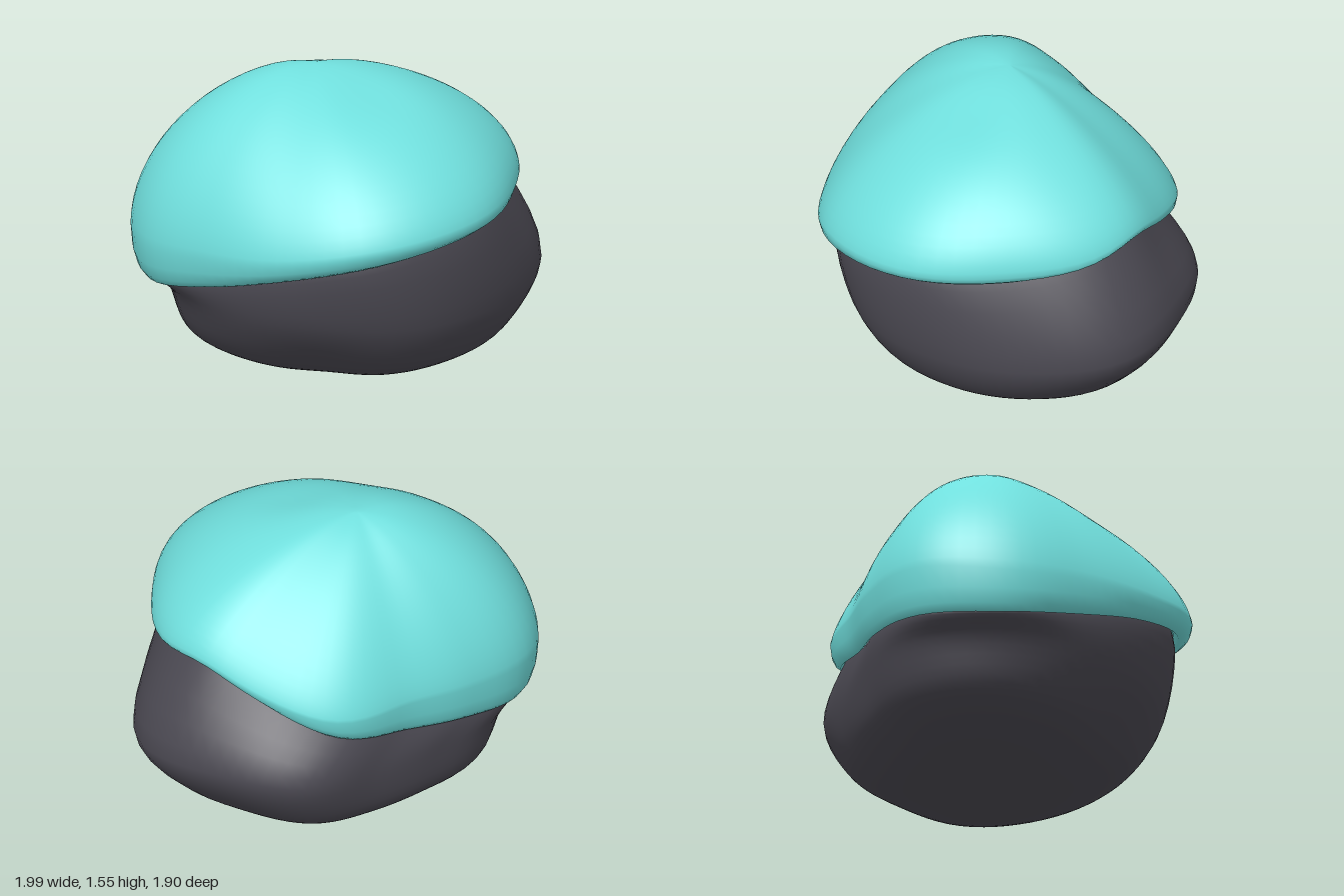
import * as THREE from 'three';
import { mergeVertices } from 'three/addons/utils/BufferGeometryUtils.js';

const teal = new THREE.MeshStandardMaterial({ color: 0x70dfdd });
teal.name = 'teal';
const charcoal = new THREE.MeshStandardMaterial({ color: 0x4b4952 });
charcoal.name = 'charcoal';

// One row every 30 degrees from +x towards +z:
// cap radius, rim height, widest point above rim, dome fullness,
// stone radius, height of its widest point, fullness of its base
const ROWS = [
  [1.03, 0.91, 0.06, 1.74, 0.925, 0.42, 0.00],
  [1.09, 0.88, 0.06, 1.62, 0.92, 0.42, 0.00],
  [1.05, 0.80, 0.08, 1.52, 0.94, 0.42, -0.02],
  [0.925, 0.69, 0.10, 1.55, 0.91, 0.43, -0.07],
  [0.87, 0.58, 0.16, 1.73, 0.91, 0.42, -0.02],
  [0.92, 0.50, 0.20, 1.84, 0.92, 0.42, 0.02],
  [0.89, 0.52, 0.23, 1.74, 0.87, 0.42, 0.03],
  [0.73, 0.58, 0.20, 1.60, 0.70, 0.42, 0.05],
  [0.68, 0.63, 0.18, 1.45, 0.68, 0.44, 0.04],
  [0.83, 0.71, 0.12, 1.36, 0.83, 0.48, -0.04],
  [0.89, 0.87, 0.06, 1.38, 0.90, 0.50, -0.08],
  [1.02, 0.95, 0.03, 1.60, 0.995, 0.46, -0.06],
];
const TOP = 1.567;
const SEGMENTS = 72;

// Smooth periodic interpolation of all columns
function sample(angle) {
  const n = ROWS.length;
  const t = (angle / (Math.PI * 2)) * n;
  const i = Math.floor(t), f = t - i;
  const values = ROWS[0].map((_, column) => {
    const [a, b, c, d] = [-1, 0, 1, 2].map((k) => ROWS[(i + k + n) % n][column]);
    return b + 0.5 * f * (c - a + f * (2 * a - 5 * b + 4 * c - d + f * (3 * (b - c) + d - a)));
  });
  // The rim arches up over the back left bulge
  values[1] += 0.07 * Math.exp(-(((angle - 5.55) / 0.25) ** 2));
  return values;
}

// Joins the profiles around the vertical axis; each profile runs from top to bottom
function loft(profileAt) {
  const positions = [], indices = [];
  let rows = 0;
  for (let i = 0; i < SEGMENTS; i++) {
    const profile = profileAt((i / SEGMENTS) * Math.PI * 2);
    rows = profile.length;
    for (const p of profile) positions.push(p.x, p.y, p.z);
  }
  for (let i = 0; i < SEGMENTS; i++) {
    const next = (i + 1) % SEGMENTS;
    for (let j = 0; j < rows - 1; j++) {
      const a = i * rows + j, b = next * rows + j;
      indices.push(a, b, a + 1, b, b + 1, a + 1);
    }
  }
  const geometry = new THREE.BufferGeometry();
  geometry.setAttribute('position', new THREE.Float32BufferAttribute(positions, 3));
  geometry.setIndex(indices);
  const merged = mergeVertices(geometry, 1e-5);
  merged.computeVertexNormals();
  return merged;
}

const capPoint = (angle, r, y) =>
  new THREE.Vector3(-0.1 + Math.cos(angle) * r, y, Math.sin(angle) * r);
const stonePoint = (angle, r, y) =>
  new THREE.Vector3(0.05 + Math.cos(angle) * r, y, -0.1 + Math.sin(angle) * r);

// Soft dip of a given depth and width, centred on (x, z)
const dip = (p, x, z, depth, width) =>
  depth * Math.exp(-((p.x - x) ** 2 + (p.z - z) ** 2) / (width * width));

// Dome, then a rounded rim that tucks back under
function capProfile(angle) {
  const [radius, rim, drop, power] = sample(angle);
  const wide = rim + drop;
  const points = [];
  for (let j = 0; j <= 20; j++) {
    const a = (j / 20) * Math.PI / 2;
    const r = Math.pow(Math.sin(a), 2 / power);
    const h = j === 20 ? 0 : Math.pow(Math.cos(a), 2 / power);
    const p = capPoint(angle, radius * r, wide + (TOP - wide) * h);
    // Flattened peak and a shallow hollow on the front slope
    p.y -= dip(p, -0.1, 0, 0.012, 0.14) + dip(p, 0.22, 0.2, 0.03, 0.22);
    points.push(p);
  }
  points.push(
    capPoint(angle, radius * 0.99, rim + drop * 0.5),
    capPoint(angle, radius * 0.965, rim + drop * 0.15),
    capPoint(angle, radius * 0.935, rim - 0.005),
    capPoint(angle, radius * 0.91, rim + 0.015),
    capPoint(angle, radius * 0.885, rim + 0.08),
  );
  return points;
}

// Rounded base, bulging side and an upper edge hidden inside the cap
function stoneProfile(angle) {
  const [radius, rim, , , stone, middle, base] = sample(angle);
  const curve = new THREE.CatmullRomCurve3([
    capPoint(angle, radius * 0.8, rim + 0.13),
    capPoint(angle, radius * 0.905, rim + 0.02),
    stonePoint(angle, stone, middle),
    stonePoint(angle, stone * (0.88 + base), 0.2),
    stonePoint(angle, stone * (0.73 + base), 0.1),
    stonePoint(angle, stone * (0.48 + base), 0.025),
    stonePoint(angle, 0, 0),
  ], false, 'centripetal');
  return curve.getPoints(30);
}

export function createModel() {
  const group = new THREE.Group();
  group.name = 'cappedStone';

  const stone = new THREE.Mesh(loft(stoneProfile), charcoal);
  stone.name = 'stone';
  const cap = new THREE.Mesh(loft(capProfile), teal);
  cap.name = 'cap';

  group.add(stone, cap);
  return group;
}
